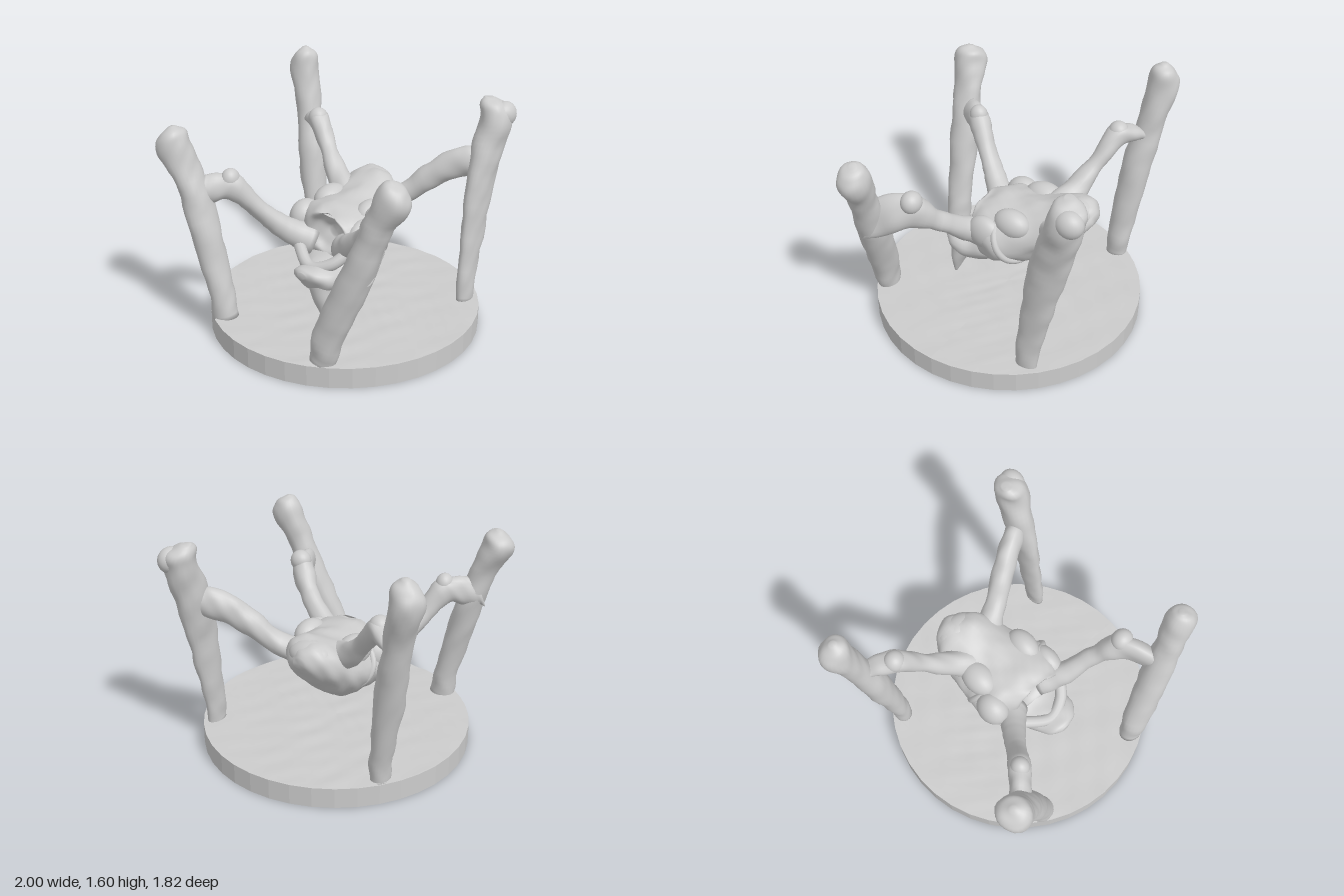
import * as THREE from 'three';

const material = new THREE.MeshStandardMaterial({ color: 0xcccccc });
const facetMaterial = new THREE.MeshStandardMaterial({ color: 0xcccccc, flatShading: true });

// Gentle hand-modelled unevenness
function bump(x, y, z) {
  return Math.sin(17 * x + 9 * y + 3) * Math.sin(15 * y - 8 * z) * Math.cos(16 * z + 7 * x)
    + 0.5 * Math.sin(37 * x - 21 * z) * Math.cos(33 * y + 29 * z);
}

function roughen(geometry, amount) {
  geometry.computeVertexNormals();
  const p = geometry.attributes.position, n = geometry.attributes.normal;
  for (let i = 0; i < p.count; i++) {
    const x = p.getX(i), y = p.getY(i), z = p.getZ(i);
    const k = amount * bump(x, y, z);
    p.setXYZ(i, x + n.getX(i) * k, y + n.getY(i) * k, z + n.getZ(i) * k);
  }
  geometry.computeVertexNormals();
  return geometry;
}

// Smooth skin through rings [x, y, z, halfWidth, halfHeight]
function loft(name, rings, { axis, steps = 6, sides = 24, rough = 0.008 } = {}) {
  const centres = rings.map(r => new THREE.Vector3(r[0], r[1], r[2]));
  const sizes = rings.map(r => new THREE.Vector3(r[3], r[4] ?? r[3], 0));
  const path = new THREE.CatmullRomCurve3(centres, false, 'catmullrom');
  const size = new THREE.CatmullRomCurve3(sizes, false, 'catmullrom');
  const d = axis ?? centres.at(-1).clone().sub(centres[0]).normalize();
  const ref = Math.abs(d.y) > 0.9 ? new THREE.Vector3(0, 0, 1) : new THREE.Vector3(0, 1, 0);
  const u = ref.cross(d).normalize(), v = d.clone().cross(u);
  const position = [], index = [];
  const rows = (rings.length - 1) * steps;
  for (let i = 0; i <= rows; i++) {
    const c = path.getPoint(i / rows), s = size.getPoint(i / rows);
    for (let j = 0; j < sides; j++) {
      const a = j / sides * Math.PI * 2;
      position.push(...c.clone()
        .addScaledVector(u, Math.cos(a) * Math.max(s.x, 0.004))
        .addScaledVector(v, Math.sin(a) * Math.max(s.y, 0.004)).toArray());
      if (i < rows) {
        const k = (j + 1) % sides, b = i * sides;
        index.push(b + j, b + k, b + sides + k, b + j, b + sides + k, b + sides + j);
      }
    }
  }
  // Close both ends
  const first = position.length / 3, last = rows * sides;
  position.push(...centres[0].toArray(), ...centres.at(-1).toArray());
  for (let j = 0; j < sides; j++) {
    const k = (j + 1) % sides;
    index.push(first, k, j, first + 1, last + j, last + k);
  }
  const geometry = new THREE.BufferGeometry();
  geometry.setAttribute('position', new THREE.Float32BufferAttribute(position, 3));
  geometry.setIndex(index);
  const mesh = new THREE.Mesh(roughen(geometry, rough), material);
  mesh.name = name;
  return mesh;
}

function lump(name, x, y, z, rx, ry, rz) {
  const mesh = new THREE.Mesh(new THREE.SphereGeometry(1, 24, 16), material);
  mesh.scale.set(rx, ry, rz);
  mesh.position.set(x, y, z);
  mesh.name = name;
  return mesh;
}

function createBase() {
  const base = new THREE.Group();
  base.name = 'base';
  const slab = new THREE.Mesh(new THREE.CylinderGeometry(0.905, 0.905, 0.138, 40), facetMaterial);
  slab.position.set(0.04, 0.069, 0);
  slab.name = 'slab';
  // Uneven ground on top of the slab
  const disc = new THREE.RingGeometry(0.001, 0.9, 72, 20).rotateX(-Math.PI / 2).translate(0.04, 0.145, 0);
  const ground = new THREE.Mesh(roughen(disc, 0.005), material);
  ground.name = 'ground';
  base.add(slab, ground);
  return base;
}

export function createModel() {
  const model = new THREE.Group();
  model.name = 'suspendedFigure';
  model.add(createBase());

  // Leaning posts with knobbly tops
  model.add(
    loft('backRightPost', [
      [-0.645, 0.12, -0.465, 0.06, 0.07], [-0.67, 0.35, -0.48, 0.07, 0.085],
      [-0.745, 0.8, -0.52, 0.095, 0.1], [-0.82, 1.15, -0.565, 0.085, 0.09],
      [-0.89, 1.42, -0.6, 0.105, 0.105], [-0.89, 1.54, -0.6, 0.085, 0.08], [-0.885, 1.59, -0.6, 0.02]]),
    loft('frontRightPost', [
      [-0.37, 0.12, 0.71, 0.09, 0.08], [-0.405, 0.35, 0.72, 0.08, 0.09],
      [-0.52, 0.8, 0.74, 0.09, 0.105], [-0.61, 1.1, 0.77, 0.085, 0.105],
      [-0.69, 1.28, 0.8, 0.105, 0.115], [-0.7, 1.36, 0.8, 0.085, 0.09], [-0.7, 1.4, 0.8, 0.02]]),
    loft('frontLeftPost', [
      [0.48, 0.12, 0.7, 0.085, 0.07], [0.53, 0.35, 0.68, 0.105, 0.085],
      [0.685, 0.75, 0.62, 0.1, 0.1], [0.8, 1.08, 0.58, 0.085, 0.09],
      [0.885, 1.26, 0.55, 0.11, 0.1], [0.9, 1.35, 0.545, 0.08, 0.075], [0.89, 1.39, 0.545, 0.02]]),
    loft('backLeftPost', [
      [0.655, 0.12, -0.53, 0.045, 0.075], [0.65, 0.35, -0.55, 0.05, 0.085],
      [0.645, 0.8, -0.63, 0.065, 0.12], [0.64, 1.12, -0.71, 0.09, 0.125],
      [0.655, 1.35, -0.78, 0.105, 0.11], [0.63, 1.45, -0.79, 0.09, 0.1], [0.6, 1.5, -0.77, 0.03]]),
    lump('backLeftPostKnob', 0.69, 1.39, -0.82, 0.075, 0.085, 0.09));

  // Limbs stretched from the body to the posts
  model.add(
    loft('backRightLimb', [
      [-0.14, 0.74, -0.24, 0.1], [-0.3, 0.83, -0.31, 0.085], [-0.46, 0.99, -0.38, 0.06],
      [-0.6, 1.14, -0.44, 0.075], [-0.7, 1.13, -0.5, 0.065], [-0.8, 1.08, -0.55, 0.06]]),
    loft('frontRightLimb', [
      [-0.14, 0.56, 0.13, 0.11], [-0.24, 0.66, 0.27, 0.08], [-0.34, 0.81, 0.41, 0.065],
      [-0.43, 0.98, 0.54, 0.075, 0.09], [-0.5, 0.98, 0.63, 0.07, 0.11], [-0.59, 0.96, 0.74, 0.07, 0.13]]),
    loft('frontLeftLimb', [
      [0.14, 0.57, 0.1, 0.1], [0.27, 0.67, 0.19, 0.08], [0.45, 0.81, 0.26, 0.065],
      [0.58, 0.93, 0.34, 0.075, 0.11], [0.67, 0.92, 0.46, 0.075, 0.16], [0.74, 0.87, 0.6, 0.06, 0.15]]),
    loft('backLeftLimb', [
      [0.0, 0.73, -0.3, 0.11], [0.18, 0.81, -0.42, 0.075], [0.34, 0.96, -0.52, 0.075, 0.085],
      [0.47, 1.05, -0.6, 0.07, 0.095], [0.56, 1.08, -0.65, 0.07, 0.105], [0.64, 1.08, -0.7, 0.06, 0.1]]),
    lump('frontLeftElbow', 0.61, 1.02, 0.35, 0.075, 0.075, 0.07),
    lump('frontRightElbow', -0.44, 1.04, 0.56, 0.06, 0.075, 0.065),
    lump('backRightKnee', -0.61, 1.16, -0.44, 0.07, 0.075, 0.07));

  // Sagging torso, ending in a rim that turns into a hollow at the front
  model.add(loft('torso', [
    [-0.1, 0.81, -0.57, 0.04, 0.03], [-0.1, 0.8, -0.52, 0.13, 0.1], [-0.08, 0.75, -0.4, 0.22, 0.17],
    [-0.04, 0.65, -0.22, 0.27, 0.215], [0.0, 0.62, -0.06, 0.32, 0.225], [-0.01, 0.62, 0.07, 0.31, 0.22],
    [0.02, 0.64, 0.15, 0.23, 0.18], [0.04, 0.67, 0.18, 0.17, 0.14], [0.05, 0.67, 0.13, 0.12, 0.1],
    [0.05, 0.67, 0.09, 0.05, 0.04]],
  { axis: new THREE.Vector3(0, 0, 1), sides: 36, rough: 0.012 }));

  // Folds and swellings over the torso
  model.add(
    lump('rearSwelling', -0.1, 0.83, -0.45, 0.15, 0.09, 0.11),
    lump('rightHip', -0.2, 0.76, -0.13, 0.1, 0.1, 0.14),
    lump('leftHip', 0.17, 0.76, -0.11, 0.09, 0.1, 0.13),
    lump('rightShoulder', -0.25, 0.68, 0.07, 0.1, 0.12, 0.12),
    lump('leftShoulder', 0.24, 0.67, 0.05, 0.08, 0.12, 0.13));
  const fold = new THREE.Mesh(new THREE.TorusGeometry(1, 0.075, 10, 40), material);
  fold.scale.set(0.31, 0.21, 0.3);
  fold.position.set(0, 0.63, -0.08);
  fold.rotation.x = 0.45;
  fold.name = 'waistFold';
  model.add(fold);

  // Head hanging forward below the hollow, with a pointed tip
  model.add(
    loft('head', [
      [0.0, 0.5, -0.02, 0.16, 0.09], [0.03, 0.46, 0.1, 0.21, 0.11], [0.05, 0.42, 0.22, 0.19, 0.105],
      [0.08, 0.43, 0.34, 0.15, 0.095], [0.07, 0.47, 0.42, 0.1, 0.05], [0.07, 0.48, 0.45, 0.03, 0.02]],
    { axis: new THREE.Vector3(0, 0, 1) }),
    loft('headTip', [
      [0.11, 0.46, 0.31, 0.1], [0.13, 0.36, 0.32, 0.085, 0.075], [0.155, 0.27, 0.34, 0.055, 0.04],
      [0.175, 0.17, 0.35, 0.008]], { rough: 0.005 }));

  // Ridge between head and hollow
  const brow = new THREE.CatmullRomCurve3([
    [-0.26, 0.62, 0.14], [-0.13, 0.55, 0.25], [0.04, 0.49, 0.33], [0.17, 0.53, 0.28], [0.25, 0.62, 0.17],
  ].map(p => new THREE.Vector3(...p)));
  const ridge = new THREE.Mesh(new THREE.TubeGeometry(brow, 32, 0.04, 12), material);
  ridge.name = 'browRidge';
  model.add(ridge);

  return model;
}
